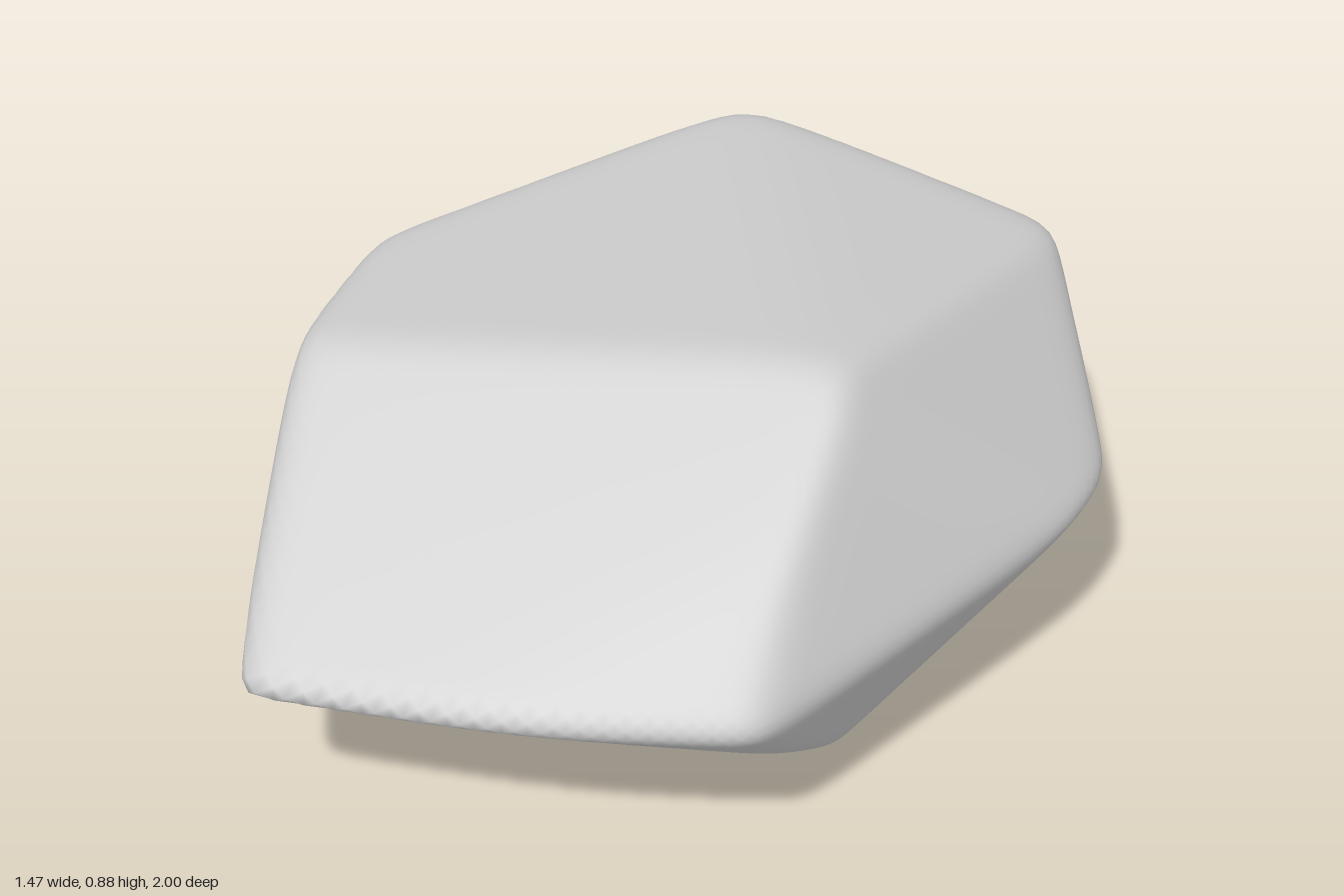
import * as THREE from 'three';
import { mergeVertices } from 'three/addons/utils/BufferGeometryUtils.js';

const V = (x, y, z) => new THREE.Vector3(x, y, z);

// Corners of the upper half, heights measured from the mid plane
const topLeft = V(0.51, 0.455, 0.07), topFront = V(-0.33, 0.392, 0.58);
const topBack = V(0.31, 0.305, -0.82), topBackRight = V(-0.34, 0.388, -0.63);
const topRight = V(-0.455, 0.39, 0), topFrontRight = V(-0.42, 0.385, 0.4);

// Corners around the mid plane
const nose = V(0, 0, 1.035), frontEdge = V(0.43, 0, 0.77), frontLeft = V(0.75, 0, 0.47);
const sideLeft = V(0.73, 0, -0.4), backLeft = V(0.66, 0, -0.61), tail = V(0.04, 0, -1.042);
const backRight = V(-0.47, 0, -0.82), sideRight = V(-0.69, 0, -0.4);
const right = V(-0.755, 0, 0), frontRight = V(-0.52, 0, 0.49);

// Each facet passes through three corners
const facets = [
  [topLeft, topFront, topBackRight], [topLeft, topBackRight, topBack],
  [nose, frontEdge, topFront], [frontEdge, frontLeft, topLeft],
  [frontLeft, sideLeft, topLeft], [topLeft, topBack, backLeft],
  [backLeft, tail, topBack], [tail, topBack, topBackRight],
  [tail, backRight, topBackRight], [backRight, sideRight, topBackRight],
  [sideRight, right, topRight], [right, frontRight, topFrontRight],
  [frontRight, nose, topFront],
];

// Facet normals divided by their distance from the centre, mirrored to the underside
function facetVectors() {
  const list = [];
  for (const [a, b, c] of facets) {
    const n = b.clone().sub(a).cross(c.clone().sub(a));
    n.divideScalar(n.dot(a));
    list.push(n, V(n.x, -n.y, n.z));
  }
  return list;
}

// Sphere pushed out to the facets; the high power blends neighbours into soft edges
function rockGeometry(softness = 42) {
  const ball = new THREE.IcosahedronGeometry(1, 40);
  ball.deleteAttribute('uv');
  ball.deleteAttribute('normal');
  const geo = mergeVertices(ball, 1e-5);
  const planes = facetVectors();
  const pos = geo.attributes.position;
  const p = new THREE.Vector3();
  for (let i = 0; i < pos.count; i++) {
    p.fromBufferAttribute(pos, i).normalize();
    let sum = 0;
    for (const n of planes) sum += Math.pow(Math.max(0, n.dot(p)), softness);
    p.multiplyScalar(Math.pow(sum, -1 / softness));
    pos.setXYZ(i, p.x, p.y, p.z);
  }
  // Centre it and stand it on the ground
  geo.center();
  geo.translate(0, -geo.boundingBox.min.y, 0);
  geo.computeVertexNormals();
  return geo;
}

export function createModel() {
  const group = new THREE.Group();
  group.name = 'rock';
  const boulder = new THREE.Mesh(rockGeometry(), new THREE.MeshStandardMaterial({ color: 0xcccccc }));
  boulder.name = 'boulder';
  group.add(boulder);
  return group;
}
